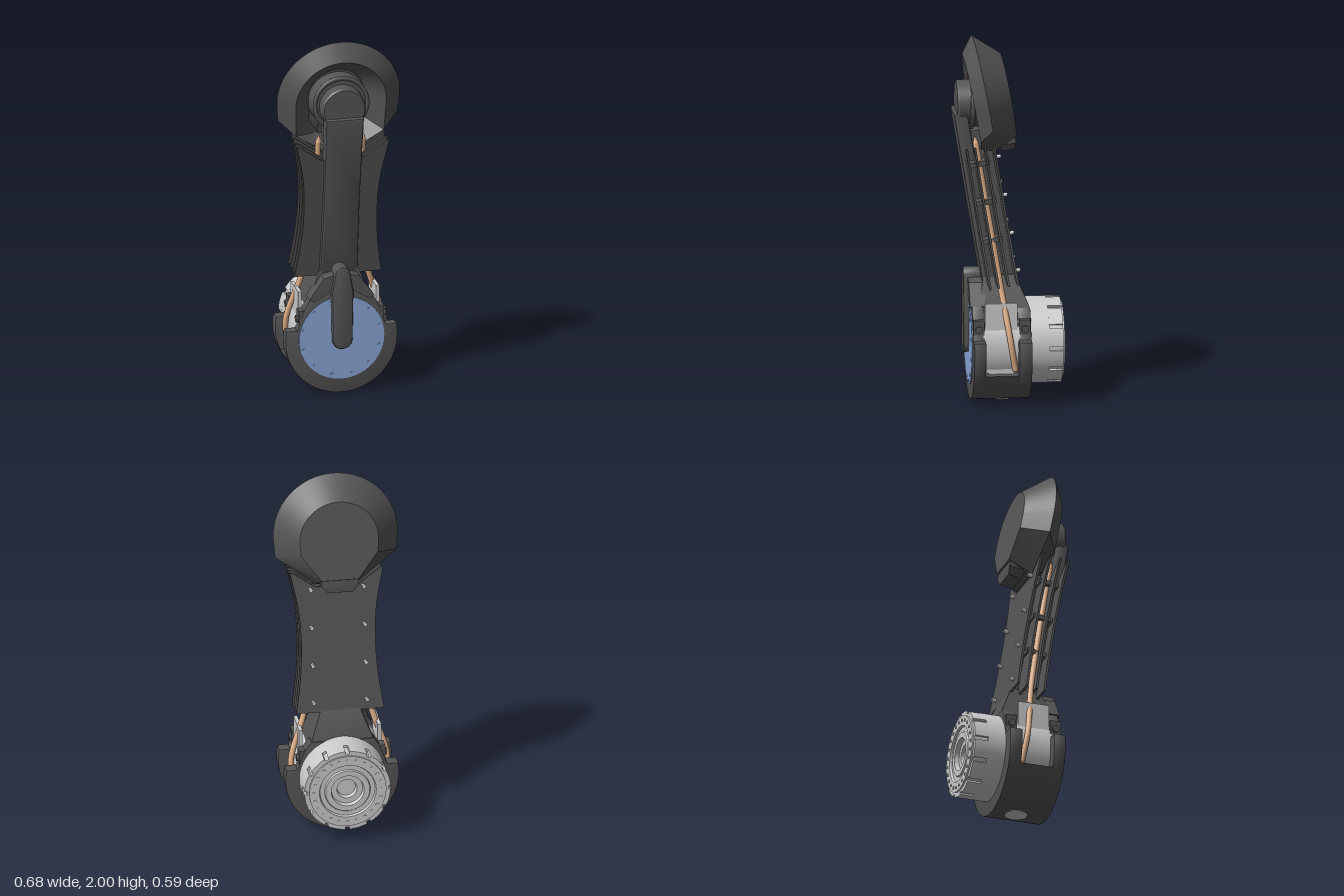
import * as THREE from 'three';
import { toCreasedNormals } from 'three/addons/utils/BufferGeometryUtils.js';

const mat = (color) => new THREE.MeshStandardMaterial({ color, side: THREE.DoubleSide });
const V2 = (x, y) => new THREE.Vector2(x, y);
const V3 = (x, y, z) => new THREE.Vector3(x, y, z);
const TILT = 0.165, HUB = 0.31;

export function createModel() {
  const model = new THREE.Group();
  const dark = mat(0x555555), grey = mat(0xcccccc), blue = mat(0x8aa8d8), copper = mat(0xe0b088);

  function add(name, geo, material, parent = model, x = 0, y = 0, z = 0) {
    const m = new THREE.Mesh(geo, material);
    m.name = name;
    m.position.set(x, y, z);
    parent.add(m);
    return m;
  }
  const box = (w, h, d) => new THREE.BoxGeometry(w, h, d);
  const cylZ = (r1, r2, len, n = 48) => new THREE.CylinderGeometry(r1, r2, len, n).rotateX(Math.PI / 2);
  // flat outline extruded from z0 to z1
  function plate(pts, z0, z1, bevel = 0) {
    const geo = new THREE.ExtrudeGeometry(new THREE.Shape(pts), {
      depth: z1 - z0 - 2 * bevel, bevelEnabled: bevel > 0, bevelSize: bevel,
      bevelThickness: bevel, bevelOffset: -bevel, bevelSegments: 2,
    });
    return toCreasedNormals(geo.translate(0, 0, z0 + bevel), 0.5);
  }
  // closed skin through equal-length loops of points, capped at both ends
  function loft(rings) {
    const out = [], n = rings[0].length;
    const mid = (r) => r.reduce((a, p) => a.add(p), V3(0, 0, 0)).divideScalar(n);
    const first = rings[0], last = rings[rings.length - 1], c0 = mid(first), c1 = mid(last);
    for (let j = 0; j < n; j++) {
      const k = (j + 1) % n;
      out.push(c0, first[k], first[j], c1, last[j], last[k]);
      for (let i = 0; i + 1 < rings.length; i++) {
        const a = rings[i], b = rings[i + 1];
        out.push(a[j], a[k], b[k], a[j], b[k], b[j]);
      }
    }
    return toCreasedNormals(new THREE.BufferGeometry().setFromPoints(out), 0.45);
  }
  const arc = (r, a0, a1, n, cy = 0) => Array.from({ length: n + 1 }, (_, i) => {
    const a = a0 + (a1 - a0) * i / n;
    return V2(r * Math.cos(a), cy + r * Math.sin(a));
  });
  const mirror = (pts) => [...pts, ...pts.slice().reverse().map((p) => V2(-p.x, p.y))];

  // --- hip housing: two cheeks joined by a lower cradle
  const bowl = arc(0.31, Math.PI - 0.19, 2 * Math.PI + 0.19, 56, HUB);
  const cheek = (top) => [...bowl, V2(0.245, 0.37), ...mirror(top), V2(-0.245, 0.37)];
  add('frontCheek', plate(cheek([V2(0.2, 0.5), V2(0.175, 0.54), V2(0.1, 0.65)]), 0.15, 0.215, 0.004), dark);
  add('backCheek', plate(cheek([V2(0.2, 0.49), V2(0.17, 0.53)]), -0.1, -0.03, 0.004), dark);
  const cut = Math.asin(0.13 / 0.31);
  add('cradle', plate(arc(0.31, Math.PI + cut, 2 * Math.PI - cut, 40, HUB), -0.035, 0.155), dark);
  add('bottomPort', new THREE.CylinderGeometry(0.06, 0.06, 0.004, 32), grey, model, 0, 0.002, 0.04);
  add('innerDrive', cylZ(0.25, 0.25, 0.2, 64), grey, model, 0, HUB + 0.005, 0.06);

  // neck from housing to leg
  const rect = (x, y, z0, z1) => [V3(x, y, z1), V3(x, y, z0), V3(-x, y, z0), V3(-x, y, z1)];
  add('neck', loft([rect(0.19, 0.46, -0.1, 0.19), rect(0.165, 0.54, -0.095, 0.18),
    rect(0.1, 0.7, -0.025, 0.145)]), dark);

  // blue cover with rim screws
  add('coverDisc', cylZ(0.235, 0.235, 0.02, 72), blue, model, 0, HUB + 0.005, 0.211);
  for (let i = 0; i < 12; i++) {
    const a = (i + 0.5) * Math.PI / 6;
    add('coverScrew', cylZ(0.009, 0.009, 0.008, 12), blue, model,
      0.215 * Math.cos(a), HUB + 0.005 + 0.215 * Math.sin(a), 0.222);
  }
  // rounded bar and branching yoke on the front
  const bar = [...arc(0.055, Math.PI, 2 * Math.PI, 16, 0.31), V2(0.06, 0.58),
    ...arc(0.042, 0, Math.PI, 14, 0.685), V2(-0.06, 0.58)];
  add('frontBar', plate(bar, 0.13, 0.25, 0.012), dark);
  for (const s of [-1, 1]) {
    const wing = [V2(0.03, 0.54), V2(0.06, 0.585), V2(0.15, 0.53), V2(0.18, 0.545), V2(0.1, 0.66), V2(0.03, 0.68)];
    add('yokeWing', plate(wing.map((p) => V2(s * p.x, p.y)), 0.14, 0.226), dark);
    for (const z of [0.183, -0.066]) {
      add('sideBoss', box(0.05, 0.09, 0.06), dark, model, s * 0.21, 0.435, z);
      add('sideBolt', new THREE.CylinderGeometry(0.02, 0.02, 0.02, 20).rotateZ(Math.PI / 2),
        dark, model, s * 0.237, 0.43, z);
    }
    add('sidePanel', plate([V2(-0.025, 0.19), V2(0, 0.18), V2(0.125, 0.18), V2(0.15, 0.2), V2(0.15, 0.57), V2(-0.025, 0.57)],
      -0.01, 0.01).rotateY(-Math.PI / 2), grey, model, s * 0.215, 0, 0);
  }

  // --- rear motor: plain drum, notched band, flanged end
  const motor = new THREE.Group();
  motor.name = 'motor';
  motor.position.set(0, HUB + 0.005, 0);
  model.add(motor);
  add('motorDrum', cylZ(0.235, 0.235, 0.12, 72), grey, motor, 0, 0, -0.14);
  const notched = [];
  for (let i = 0; i < 12; i++) {
    const a = i * Math.PI / 6 + Math.PI / 2, w = 0.05;
    notched.push(...arc(0.222, a - w, a + w, 2), ...arc(0.235, a + w, a + Math.PI / 6 - w, 6));
  }
  const band = new THREE.Shape(notched);
  band.holes.push(new THREE.Path(arc(0.2, 0, 2 * Math.PI, 48)));
  add('notchedBand', toCreasedNormals(new THREE.ExtrudeGeometry(band,
    { depth: 0.075, bevelEnabled: false }).translate(0, 0, -0.275), 0.5), grey, motor);
  const flange = [[0.21, 0.2], [0.21, 0.285], [0.155, 0.285], [0.15, 0.272], [0.125, 0.272], [0.12, 0.28],
    [0.09, 0.28], [0.085, 0.255], [0.055, 0.255], [0.05, 0.23], [0, 0.23]].map(([r, z]) => V2(r, z));
  add('motorFlange', toCreasedNormals(new THREE.LatheGeometry(flange, 64).rotateX(-Math.PI / 2), 0.5), grey, motor);
  for (let i = 0; i < 24; i++) {
    const a = i * Math.PI / 12;
    add('flangeBolt', cylZ(0.009, 0.009, 0.008, 10), grey, motor, 0.185 * Math.cos(a), 0.185 * Math.sin(a), -0.284);
  }

  // --- leaning leg: box beam carrying stacked concave fins
  const leg = new THREE.Group();
  leg.name = 'leg';
  leg.position.set(0, 0.66, 0.055);
  leg.rotation.x = TILT;
  model.add(leg);
  add('frontBeam', plate(mirror([V2(0.105, -0.1), V2(0.1, 0.5), V2(0.105, 0.96)]), 0.02, 0.095, 0.012), dark, leg);
  add('beamCore', box(0.17, 0.92, 0.13), dark, leg, 0, 0.39, -0.02);
  const edge = new THREE.SplineCurve([V2(0.24, 0), V2(0.212, 0.2), V2(0.202, 0.4), V2(0.215, 0.6), V2(0.255, 0.8)]);
  const finShape = mirror([...edge.getPoints(24), V2(0.23, 0.79), V2(0.12, 0.71)]);
  for (const z of [-0.09, -0.04, 0.015, 0.06]) add('fin', plate(finShape, z, z + 0.012), dark, leg);
  for (const y of [0.25, 0.465, 0.68]) add('cableClamp', box(0.33, 0.026, 0.12), dark, leg, 0, y, 0.01);
  for (const s of [-1, 1]) for (const y of [0.06, 0.27, 0.485, 0.7])
    add('backBolt', cylZ(0.011, 0.011, 0.03, 14), grey, leg, s * 0.145, y, -0.1);

  // --- cables down both sides
  for (const s of [-1, 1]) {
    const path = new THREE.CatmullRomCurve3([V3(0.245, 0.21, -0.012), V3(0.262, 0.37, 0.015), V3(0.18, 0.65, 0.06),
      V3(0.15, 0.9, 0.1), V3(0.13, 1.2, 0.15), V3(0.122, 1.44, 0.19)].map((p) => p.setX(s * p.x)));
    add('cable', new THREE.TubeGeometry(path, 64, 0.016, 12), copper);
    add('cableEnd', new THREE.SphereGeometry(0.016, 14, 10), copper, model, s * 0.245, 0.21, -0.012);
    add('cableTip', new THREE.ConeGeometry(0.016, 0.045, 12).rotateX(TILT), copper, model, s * 0.122, 1.462, 0.194);
  }

  // --- knee shield: faceted dish with a sunken front
  const outline = (r, cornerY, bx, by, z) => [...arc(r, 0, Math.PI, 40),
    V2(-r * 0.975, cornerY), V2(-bx, by), V2(bx, by), V2(r * 0.975, cornerY)].map((p) => V3(p.x, p.y, z));
  const head = new THREE.Group();
  head.name = 'kneeShield';
  head.position.set(0, 1.665, 0.137);
  head.rotation.x = 0.175;
  model.add(head);
  add('shield', loft([outline(0.215, -0.08, 0.1, -0.225, -0.135), outline(0.34, -0.115, 0.12, -0.28, 0),
    outline(0.25, -0.185, 0.14, -0.25, 0.07), outline(0.15, -0.15, 0.1, -0.23, -0.04)]), dark, head);
  add('shieldFoot', loft([rect(0.07, -0.3, -0.115, -0.04), rect(0.1, -0.26, -0.125, -0.03),
    rect(0.1, -0.18, -0.125, -0.03)]), dark, head);

  // knee pivot
  add('pivotCollar', cylZ(0.14, 0.16, 0.12), dark, model, 0, 1.65, 0.15);
  add('pivotRing', new THREE.TorusGeometry(0.145, 0.012, 10, 48), dark, model, 0, 1.65, 0.205);
  const pivot = [[0, 0.286], [0.112, 0.286], [0.12, 0.275], [0.125, 0.1]].map(([r, z]) => V2(r, z));
  add('pivotCap', toCreasedNormals(new THREE.LatheGeometry(pivot, 48).rotateX(Math.PI / 2), 0.5), dark, model, 0, 1.64, 0);
  return model;
}
